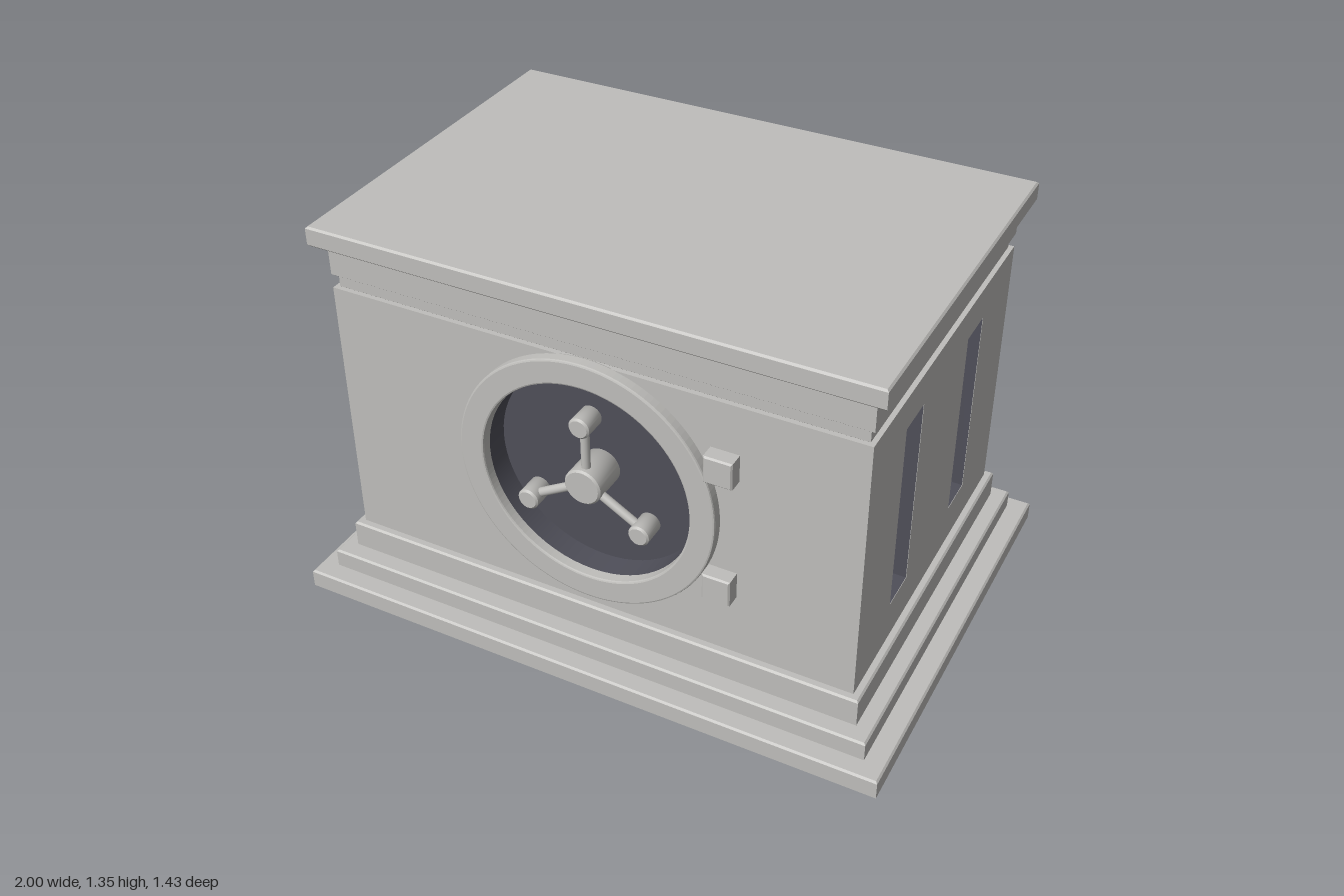
import * as THREE from 'three';

const stone = new THREE.MeshStandardMaterial({ color: 0xbfbebb });
stone.name = 'warm grey';
const dark = new THREE.MeshStandardMaterial({ color: 0x4f4f59, side: THREE.DoubleSide });
dark.name = 'dark slate';

export function createModel() {
  const model = new THREE.Group();
  model.name = 'vault';

  const add = (name, geometry, material = stone, parent = model) => {
    const mesh = new THREE.Mesh(geometry, material);
    mesh.name = name;
    parent.add(mesh);
    return mesh;
  };

  const rect = (x0, y0, x1, y1, Type = THREE.Shape) => new Type([
    new THREE.Vector2(x0, y0), new THREE.Vector2(x1, y0),
    new THREE.Vector2(x1, y1), new THREE.Vector2(x0, y1),
  ]);

  // Block centred on x and z with small chamfers, from y0 to y1
  const block = (name, hx, hz, y0, y1, b = 0.006) => {
    const geo = new THREE.ExtrudeGeometry(rect(-hx + b, -hz + b, hx - b, hz - b), {
      depth: y1 - y0 - 2 * b, bevelThickness: b, bevelSize: b, bevelSegments: 1,
    });
    geo.rotateX(-Math.PI / 2);
    add(name, geo).position.y = y0 + b;
  };

  // Cylinder pointing along z
  const knob = (name, r, x, y, z0, z1, parent) => {
    const b = 0.006;
    const pts = [[0, 0], [r, 0], [r, z1 - z0 - b], [r, z1 - z0 - b],
      [r - b, z1 - z0], [r - b, z1 - z0], [0, z1 - z0]];
    const geo = new THREE.LatheGeometry(pts.map(p => new THREE.Vector2(...p)), 32);
    geo.rotateX(Math.PI / 2);
    add(name, geo, stone, parent).position.set(x, y, z0);
  };

  // Stepped base, groove, frieze and roof slab
  block('baseStep', 1, 0.715, 0, 0.07);
  block('middleStep', 0.935, 0.657, 0.07, 0.14);
  block('upperStep', 0.885, 0.605, 0.14, 0.24);
  block('groove', 0.845, 0.565, 1.13, 1.175, 0.001);
  block('frieze', 0.86, 0.58, 1.175, 1.28, 0.001);
  block('roofSlab', 0.9, 0.62, 1.28, 1.345);

  // Body core, with front and side walls that are cut open
  const y0 = 0.24, y1 = 1.13, HX = 0.86, HZ = 0.58, niche = 0.05;
  const doorDepth = 0.08, doorY = 0.715, doorR = 0.343;
  const core = add('bodyCore', new THREE.BoxGeometry(2 * (HX - niche), y1 - y0, 2 * HZ - doorDepth));
  core.position.set(0, (y0 + y1) / 2, -doorDepth / 2);

  const frontShape = rect(-HX + niche, y0, HX - niche, y1);
  frontShape.holes.push(new THREE.Path().absarc(0, doorY, doorR, 0, Math.PI * 2, true));
  const front = add('frontWall', new THREE.ExtrudeGeometry(frontShape, {
    depth: doorDepth, bevelEnabled: false, curveSegments: 64,
  }));
  front.position.z = HZ - doorDepth;

  const slotW = 0.135, slotY0 = 0.375, slotY1 = 1.017, slotZ = 0.2525;
  const slotH = slotY1 - slotY0;
  for (const side of [1, -1]) {
    const wall = new THREE.Group();
    wall.name = side > 0 ? 'leftWall' : 'rightWall';
    wall.rotation.y = side * Math.PI / 2;
    wall.position.x = side * (HX - niche);
    model.add(wall);

    const shape = rect(-HZ, y0, HZ, y1);
    for (const c of [-slotZ, slotZ]) {
      shape.holes.push(rect(c - slotW / 2, slotY0, c + slotW / 2, slotY1, THREE.Path));
      // Dark lining: a box without its outer face
      const geo = new THREE.BoxGeometry(slotW - 0.002, slotH - 0.002, niche - 0.002);
      const index = Array.from(geo.index.array);
      index.splice(24, 6);
      geo.setIndex(index);
      geo.clearGroups();
      add('windowNiche', geo, dark, wall).position.set(c, (slotY0 + slotY1) / 2, niche / 2);
    }
    add('sidePanel', new THREE.ExtrudeGeometry(shape, { depth: niche, bevelEnabled: false }), stone, wall);
  }

  // Round door: dark recess, frame and hand wheel
  const door = new THREE.Group();
  door.name = 'door';
  door.position.set(0, doorY, 0);
  model.add(door);

  const lining = new THREE.CylinderGeometry(doorR - 0.001, doorR - 0.001, doorDepth, 64, 1, true);
  lining.rotateX(Math.PI / 2);
  add('doorRecess', lining, dark, door).position.z = HZ - doorDepth / 2;
  add('doorPanel', new THREE.CircleGeometry(doorR, 64), dark, door).position.z = HZ - doorDepth + 0.003;

  const ringShape = new THREE.Shape().absarc(0, 0, 0.418, 0, Math.PI * 2, false);
  ringShape.holes.push(new THREE.Path().absarc(0, 0, doorR + 0.006, 0, Math.PI * 2, true));
  add('doorFrame', new THREE.ExtrudeGeometry(ringShape, {
    depth: 0.03, bevelThickness: 0.006, bevelSize: 0.006, bevelSegments: 2, curveSegments: 64,
  }), stone, door).position.z = HZ - 0.001;

  knob('wheelHub', 0.06, 0, 0, 0.5, 0.625, door);
  for (let i = 0; i < 3; i++) {
    const spoke = new THREE.Group();
    spoke.name = 'wheelSpoke';
    spoke.rotation.z = i * Math.PI * 2 / 3;
    door.add(spoke);
    const bar = new THREE.CylinderGeometry(0.014, 0.014, 0.215, 16);
    add('spokeBar', bar, stone, spoke).position.set(0, 0.1075, 0.595);
    knob('spokeGrip', 0.034, 0, 0.215, 0.555, 0.632, spoke);
  }

  // Hinges beside the door
  for (const y of [0.502, 0.926]) {
    const b = 0.005;
    const geo = new THREE.ExtrudeGeometry(rect(-0.045 + b, -0.045 + b, 0.045 - b, 0.045 - b), {
      depth: 0.045, bevelThickness: b, bevelSize: b, bevelSegments: 1,
    });
    add('hinge', geo).position.set(0.436, y, HZ);
  }

  return model;
}
